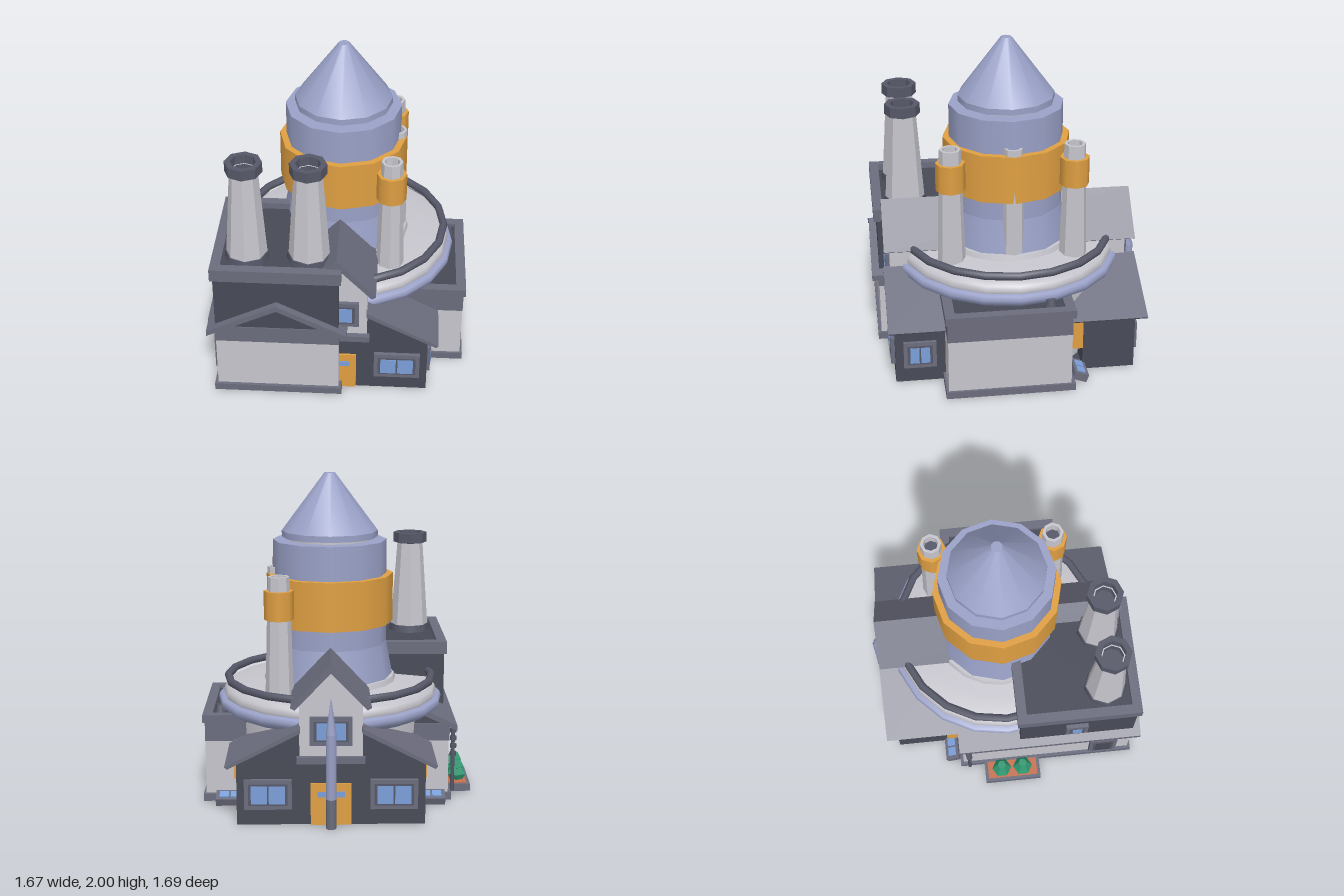
import * as THREE from 'three';

const mat = (name, color) => {
  const m = new THREE.MeshStandardMaterial({ color });
  m.name = name;
  return m;
};

export function createModel() {
  const root = new THREE.Group();
  const M = {
    white: mat('pale plaster', 0xc6c5cd),
    trim: mat('grey trim', 0x6b6c7d),
    dark: mat('dark wall', 0x474a56),
    pipe: mat('dark metal', 0x565868),
    blue: mat('lavender metal', 0x9aa1c7),
    gold: mat('gold', 0xdf9f42),
    glass: mat('window glass', 0x7a9fd8),
    green: mat('leaf green', 0x2f9670),
    clay: mat('terracotta', 0xc4704f),
  };
  const CX = 0.05, CZ = -0.015; // axis of the tower

  const add = (name, geo, m, x = 0, y = 0, z = 0, parent = root) => {
    const mesh = new THREE.Mesh(geo, m);
    mesh.name = name;
    mesh.position.set(x, y, z);
    parent.add(mesh);
    return mesh;
  };
  // box given by its limits
  const box = (name, m, x0, x1, y0, y1, z0, z1, parent = root) =>
    add(name, new THREE.BoxGeometry(x1 - x0, y1 - y0, z1 - z0), m, (x0 + x1) / 2, (y0 + y1) / 2, (z0 + z1) / 2, parent);
  const drum = (name, m, r0, r1, y0, y1, sides, x = CX, z = CZ) =>
    add(name, new THREE.CylinderGeometry(r1, r0, y1 - y0, sides), m, x, (y0 + y1) / 2, z);
  const flat = (geo) => {
    const g = geo.index ? geo.toNonIndexed() : geo;
    g.computeVertexNormals();
    return g;
  };
  const lathe = (name, m, pts, sides, x = CX, z = CZ, facet = false) => {
    const g = new THREE.LatheGeometry(pts.map(p => new THREE.Vector2(p[0], p[1])), sides);
    return add(name, facet ? flat(g) : g, m, x, 0, z);
  };
  // outline in x,y swept from z0 to z1
  const prism = (name, m, pts, z0, z1) => {
    const s = new THREE.Shape(pts.map(p => new THREE.Vector2(p[0], p[1])));
    return add(name, new THREE.ExtrudeGeometry(s, { depth: z1 - z0, bevelEnabled: false }), m, 0, 0, z0);
  };
  // flat roof edge with a sunken floor
  const parapet = (name, x0, x1, y0, y1, z0, z1, w) => {
    const s = new THREE.Shape([[x0, -z0], [x1, -z0], [x1, -z1], [x0, -z1]].map(p => new THREE.Vector2(...p)));
    s.holes.push(new THREE.Path([[x0 + w, -z0 - w], [x0 + w, -z1 + w], [x1 - w, -z1 + w], [x1 - w, -z0 - w]].map(p => new THREE.Vector2(...p))));
    const g = new THREE.ExtrudeGeometry(s, { depth: y1 - y0, bevelEnabled: false });
    g.rotateX(-Math.PI / 2);
    add(name, g, M.trim, 0, y0, 0);
  };
  // framed window facing +z before turning
  const windowUnit = (name, x, y, z, w, h, turn, panes, glass = M.glass) => {
    const g = new THREE.Group();
    g.name = name;
    g.position.set(x, y, z);
    g.rotation.y = turn;
    root.add(g);
    const b = 0.035;
    box('sill frame', M.trim, -w / 2, w / 2, -h / 2, h / 2, -0.02, 0.02, g);
    box('inner frame', M.pipe, -w / 2 + b * 0.7, w / 2 - b * 0.7, -h / 2 + b * 0.7, h / 2 - b * 0.7, 0.016, 0.023, g);
    const pw = (w - 2 * b) / panes;
    for (let i = 0; i < panes; i++) {
      const px = -w / 2 + b + i * pw;
      box('pane', glass, px + 0.005, px + pw - 0.005, -h / 2 + b, h / 2 - b, 0.02, 0.027, g);
    }
  };

  // ---- ground slabs
  box('cornerSlab', M.trim, -0.70, 0.085, 0, 0.045, -0.34, 0.82);
  box('sideSlab', M.trim, 0.3, 0.835, 0, 0.045, -0.34, 0.445);
  box('floor', M.dark, -0.5, 0.6, 0.001, 0.03, -0.74, 0.73);

  // ---- corner building: lower storey, gable roof, upper storey
  box('cornerWall', M.white, -0.68, 0.065, 0.045, 0.38, -0.32, 0.80);
  box('cornerBand', M.trim, -0.685, 0.07, 0.38, 0.49, -0.325, 0.805);
  prism('cornerGable', M.dark, [[-0.68, 0.49], [0.065, 0.49], [-0.305, 0.655]], -0.32, 0.80);
  prism('cornerRoof', M.trim, [[-0.73, 0.445], [-0.305, 0.65], [0.115, 0.445], [0.115, 0.48], [-0.305, 0.687], [-0.73, 0.48]], -0.34, 0.845);
  box('upperWall', M.dark, -0.68, 0.065, 0.49, 0.85, 0.06, 0.798);
  parapet('upperParapet', -0.695, 0.08, 0.84, 0.92, 0.04, 0.82, 0.06);
  box('upperRoofFloor', M.dark, -0.66, 0.05, 0.85, 0.88, 0.07, 0.79);
  windowUnit('upperSideWindow', -0.685, 0.675, 0.42, 0.14, 0.14, -Math.PI / 2, 1);
  windowUnit('lowerSideWindow', -0.685, 0.21, 0.62, 0.18, 0.24, -Math.PI / 2, 1, M.dark);

  // chimneys
  for (const x of [-0.492, -0.12]) {
    drum('chimneyCollar', M.pipe, 0.135, 0.13, 0.88, 0.925, 8, x, 0.61);
    lathe('chimney', M.white, [[0.125, 0.9], [0.083, 1.49], [0.065, 1.49]], 8, x, 0.61, true);
    lathe('chimneyCap', M.pipe, [[0.085, 1.475], [0.11, 1.48], [0.11, 1.545], [0.075, 1.545], [0.07, 1.42], [0, 1.42]], 8, x, 0.61, true);
  }

  // ---- long gabled hall
  prism('hallGable', M.white, [[-0.135, 0.4], [0.235, 0.4], [0.235, 0.74], [CX, 0.94], [-0.135, 0.74]], -0.745, 0.735);
  prism('hallRoof', M.trim, [[-0.185, 0.725], [-0.16, 0.71], [CX, 0.93], [0.26, 0.71], [0.285, 0.725], [CX, 0.98]], -0.80, 0.77);
  box('frontLintel', M.trim, -0.15, 0.25, 0.38, 0.42, 0.70, 0.77);
  box('backLintel', M.trim, -0.15, 0.25, 0.38, 0.42, -0.775, -0.70);
  windowUnit('frontGableWindow', CX, 0.575, 0.74, 0.27, 0.17, 0, 2);
  windowUnit('backGableWindow', CX, 0.575, -0.75, 0.25, 0.17, Math.PI, 2);
  for (const [side, z] of [['front', 0.738], ['back', -0.748]]) {
    const s = Math.sign(z);
    box(side + 'Door', M.gold, -0.07, 0.17, 0, 0.255, z - 0.01, z + 0.01);
    box(side + 'DoorGlass', M.glass, -0.03, 0.13, 0.17, 0.205, z + s * 0.01 - 0.004, z + s * 0.01 + 0.004);
  }

  // ---- lean-to houses at the front and the back
  prism('frontHouseWall', M.dark, [[CX, 0], [0.605, 0], [0.605, 0.385], [0.235, 0.565], [0.235, 0.4], [CX, 0.4]], 0.40, 0.735);
  prism('backHouseWall', M.dark, [[-0.505, 0], [0.605, 0], [0.605, 0.385], [0.235, 0.565], [0.235, 0.4],
    [-0.135, 0.4], [-0.135, 0.565], [-0.505, 0.385]], -0.745, -0.42);
  const leanTo = (s) => {
    const p = [[0.18, 0.575], [0.605, 0.36], [0.62, 0.375], [0.18, 0.605]].map(q => [CX + s * q[0], q[1]]);
    return s > 0 ? p : p.reverse();
  };
  prism('frontLeanRoof', M.trim, leanTo(1), 0.35, 0.775);
  for (const s of [1, -1]) {
    prism('backLeanRoof', M.trim, leanTo(s), -0.81, -0.34);
    windowUnit('backWindow', CX + s * 0.37, 0.19, -0.75, 0.28, 0.18, Math.PI, 2);
    // side doors and cellar hatches in the notches
    box('sideDoor', M.gold, CX + s * 0.54 - 0.05, CX + s * 0.54 + 0.05, 0.17, 0.39, -0.415, -0.32);
    const hatch = new THREE.Group();
    hatch.name = 'cellarHatch';
    hatch.position.set(CX + s * 0.62, 0.035, -0.385);
    hatch.rotation.x = -0.35;
    root.add(hatch);
    box('hatchFrame', M.trim, -0.085, 0.085, -0.025, 0.025, -0.045, 0.045, hatch);
    for (const t of [-0.034, 0.034]) box('hatchGlass', M.glass, t - 0.028, t + 0.028, 0.022, 0.03, -0.025, 0.028, hatch);
  }
  windowUnit('frontHouseWindow', 0.42, 0.19, 0.74, 0.28, 0.175, 0, 2);
  windowUnit('frontSideWindow', 0.605, 0.19, 0.585, 0.2, 0.175, Math.PI / 2, 2);

  // ---- side block
  box('sideBlockWall', M.white, 0.3, 0.82, 0.045, 0.38, -0.315, 0.43);
  box('sideBlockBand', M.trim, 0.3, 0.822, 0.38, 0.51, -0.317, 0.432);
  parapet('sideParapet', 0.3, 0.835, 0.5, 0.55, -0.335, 0.445, 0.06);
  box('sideRoofFloor', M.dark, 0.32, 0.81, 0.5, 0.53, -0.3, 0.42);
  drum('roofVent', M.pipe, 0.042, 0.026, 0.52, 0.582, 8, 0.73, -0.195);

  // ---- round hall and its dish
  drum('roundHall', M.white, 0.58, 0.61, 0, 0.54, 20);
  lathe('dishRim', M.blue, [[0.58, 0.53], [0.66, 0.535], [0.695, 0.56], [0.705, 0.59], [0.695, 0.615], [0.65, 0.62]], 20);
  lathe('dish', M.white, [[0.66, 0.61], [0.672, 0.635], [0.66, 0.665], [0.63, 0.688], [0.5, 0.70], [0.38, 0.712]], 20);
  drum('towerCollar', M.white, 0.42, 0.405, 0.69, 0.74, 20);
  const rail = new THREE.TorusGeometry(0.642, 0.025, 8, 20);
  rail.rotateX(Math.PI / 2);
  add('dishRail', rail, M.pipe, CX, 0.725, CZ);

  // ---- tower
  drum('towerBase', M.blue, 0.40, 0.353, 0.70, 0.95, 12);
  drum('towerBody', M.blue, 0.353, 0.353, 0.95, 1.59, 12);
  drum('towerBand', M.gold, 0.393, 0.393, 1.08, 1.38, 12);
  drum('towerNeck', M.white, 0.26, 0.26, 1.58, 1.615, 12);
  drum('noseSkirt', M.blue, 0.297, 0.297, 1.607, 1.645, 12);
  drum('noseCone', M.blue, 0.297, 0.033, 1.645, 2.0, 12);

  // exhaust pipes on the dish
  const exhaust = (x, z, r0, r1) => {
    lathe('exhaustPipe', M.white, [[r0, 0.69], [r1, 1.42], [r1 * 0.72, 1.42], [r1 * 0.68, 1.3]], 8, x, z, true);
    drum('exhaustBore', M.pipe, r1 * 0.7, r1 * 0.7, 1.3, 1.36, 8, x, z);
  };
  for (const z of [0.36, -0.39]) {
    exhaust(0.357, z, 0.086, 0.065);
    drum('exhaustBand', M.gold, 0.09, 0.09, 1.16, 1.335, 8, 0.357, z);
  }
  exhaust(0.38, CZ, 0.07, 0.059);

  // ---- pointed pipe at the back
  drum('backPipeFoot', M.trim, 0.031, 0.031, 0, 0.18, 8, CX, -0.813);
  drum('backPipe', M.blue, 0.031, 0.031, 0.18, 0.57, 8, CX, -0.813);
  const tip = new THREE.CylinderGeometry(0.002, 0.031, 0.2, 8);
  const tp = tip.attributes.position;
  for (let i = 0; i < tp.count; i++) tp.setZ(i, tp.getZ(i) + 0.2 * (tp.getY(i) + 0.1));
  add('backPipeTip', tip, M.blue, CX, 0.67, -0.813);

  // ---- downpipe on the corner building
  drum('downpipe', M.pipe, 0.012, 0.012, 0.04, 0.48, 8, -0.71, -0.28);
  for (let i = 0; i < 4; i++) drum('downpipeRing', M.pipe, 0.02, 0.02, 0.27 + i * 0.05, 0.295 + i * 0.05, 8, -0.712, -0.28);

  // ---- planter
  box('planter', M.trim, -0.835, -0.69, 0, 0.045, -0.18, 0.19);
  box('planterSoil', M.clay, -0.815, -0.70, 0.04, 0.05, -0.16, 0.17);
  for (const z of [-0.068, 0.073])
    lathe('bush', M.green, [[0, 0.045], [0.045, 0.045], [0.064, 0.085], [0.04, 0.125], [0.052, 0.13], [0.028, 0.172], [0, 0.172]], 6, -0.757, z, true);

  return root;
}
